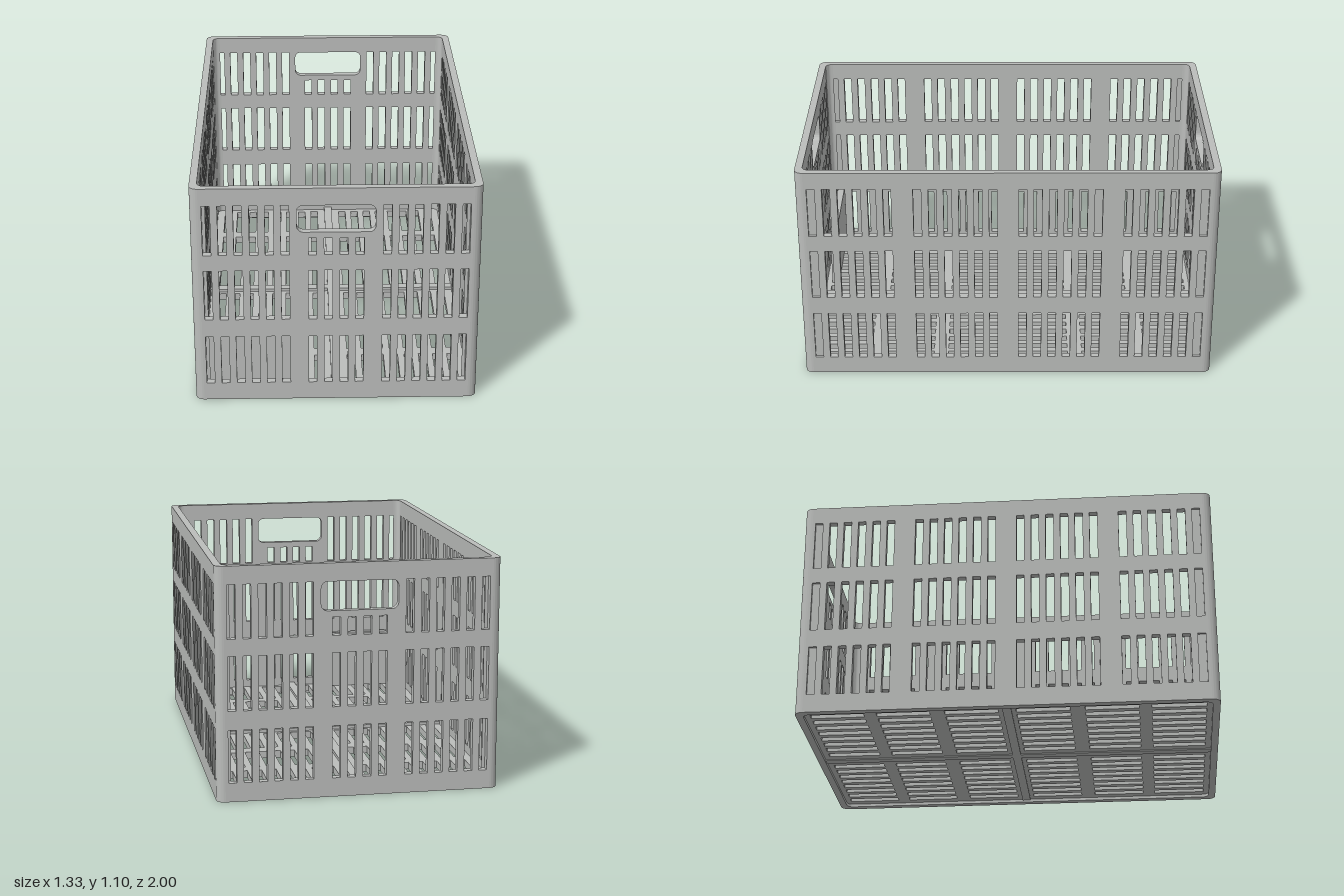
import * as THREE from 'three';
import { toCreasedNormals } from 'three/addons/utils/BufferGeometryUtils.js';

const W = 0.665, L = 1, H = 1.1;       // half width, half length, height
const T = 0.035, R = 0.04;             // wall thickness, corner radius
const SLOT = 0.038, PITCH = 0.0715;
const ROWS = [[0.09, 0.34], [0.43, 0.685], [0.765, 1.015]];

const grey = new THREE.MeshStandardMaterial({ color: 0xbbbdbb });
grey.name = 'grey plastic';

function rect(x0, y0, x1, y1, Type = THREE.Path) {
  const p = new Type();
  p.moveTo(x0, y0).lineTo(x1, y0).lineTo(x1, y1).lineTo(x0, y1);
  p.closePath();
  return p;
}

function roundedHole(x0, y0, x1, y1, r) {
  const p = new THREE.Path();
  p.absarc(x1 - r, y0 + r, r, -Math.PI / 2, 0);
  p.absarc(x1 - r, y1 - r, r, 0, Math.PI / 2);
  p.absarc(x0 + r, y1 - r, r, Math.PI / 2, Math.PI);
  p.absarc(x0 + r, y0 + r, r, Math.PI, Math.PI * 1.5);
  p.closePath();
  return p;
}

const slot = (c, y0, y1) => rect(c - SLOT / 2, y0, c + SLOT / 2, y1);

function extrude(shape, depth) {
  const g = new THREE.ExtrudeGeometry(shape, { depth, bevelEnabled: false, curveSegments: 8 });
  return toCreasedNormals(g, 0.5);
}

function add(parent, name, geometry, x = 0, y = 0, z = 0) {
  const m = new THREE.Mesh(geometry, grey);
  m.name = name;
  m.position.set(x, y, z);
  parent.add(m);
  return m;
}

// End wall with a hand hole and three slot groups
function endWallGeometry() {
  const s = rect(-W + R, 0, W - R, H, THREE.Shape);
  ROWS.forEach(([y0, y1], row) => {
    for (const side of [-1, 1])
      for (let i = 0; i < 6; i++) s.holes.push(slot(side * (0.234 + i * PITCH), y0, y1));
    for (let i = 0; i < 4; i++)
      s.holes.push(slot((i - 1.5) * 0.0725, y0, row === 2 ? 0.85 : y1));
  });
  s.holes.push(roundedHole(-0.18, 0.88, 0.18, 1.015, 0.03));
  return extrude(s, T);
}

// Long wall with four slot groups
function sideWallGeometry() {
  const s = rect(-L + R, 0, L - R, H, THREE.Shape);
  for (const [y0, y1] of ROWS)
    for (const side of [-1, 1])
      for (const start of [0.07, 0.569])
        for (let i = 0; i < 6; i++) s.holes.push(slot(side * (start + i * PITCH), y0, y1));
  return extrude(s, T).rotateY(Math.PI / 2);
}

// Slotted base panel
function floorGeometry() {
  const s = rect(-W + T, -L + T, W - T, L - T, THREE.Shape);
  for (const sx of [-1, 1])
    for (let i = 0; i < 8; i++) {
      const x = sx * (0.08 + i * 0.07);
      for (const [a, b] of [[0.042, 0.297], [0.368, 0.622], [0.682, 0.938]]) {
        s.holes.push(slot(x, a, b));
        s.holes.push(slot(x, -b, -a));
      }
    }
  return extrude(s, 0.035).rotateX(-Math.PI / 2);
}

// Corner post, rounded outside and filleted inside, local origin at the arc centre
function cornerGeometry() {
  const inner = R - T, f = 0.035;
  const s = new THREE.Shape();
  s.moveTo(R, 0);
  s.absarc(0, 0, R, 0, Math.PI / 2);
  s.lineTo(0, inner);
  s.lineTo(inner - f, inner);
  s.quadraticCurveTo(inner, inner, inner, inner - f);
  s.lineTo(inner, 0);
  s.closePath();
  return extrude(s, H).rotateX(-Math.PI / 2);
}

export function createModel() {
  const crate = new THREE.Group();
  crate.name = 'slottedCrate';

  // Walls, repeated by half turns
  const endGeo = endWallGeometry(), sideGeo = sideWallGeometry();
  for (let k = 0; k < 2; k++) {
    const half = new THREE.Group();
    half.name = k ? 'backAndRightWalls' : 'frontAndLeftWalls';
    half.rotation.y = k * Math.PI;
    add(half, 'endWall', endGeo, 0, 0, L - T);
    add(half, 'sideWall', sideGeo, W - T, 0, 0);
    // Closed backs of the outermost side slots
    for (const [y0, y1] of ROWS)
      for (const z of [-1, 1])
        add(half, 'blindSlotBack', new THREE.BoxGeometry(0.008, y1 - y0, SLOT),
          W - T / 2, (y0 + y1) / 2, z * (0.569 + 5 * PITCH));
    crate.add(half);
  }

  // Corner posts: the profile is symmetric, so each quarter is a plain rotation
  const cornerGeo = cornerGeometry();
  [[1, -1], [-1, -1], [-1, 1], [1, 1]].forEach(([sx, sz], i) => {
    const c = add(crate, 'cornerPost', cornerGeo, sx * (W - R), 0, sz * (L - R));
    c.rotation.y = i * Math.PI / 2;
  });

  // Base and its crossing ribs
  add(crate, 'floor', floorGeometry(), 0, 0.015, 0);
  add(crate, 'longRib', new THREE.BoxGeometry(0.042, 0.055, 2 * (L - T)), 0, 0.0375, 0);
  add(crate, 'crossRib', new THREE.BoxGeometry(2 * (W - T), 0.055, 0.042), 0, 0.0375, 0);

  // Label backing panel inside the front wall
  add(crate, 'innerPanel', new THREE.BoxGeometry(0.5, 0.31, 0.035), -0.38, 0.205, 0.918);

  return crate;
}
